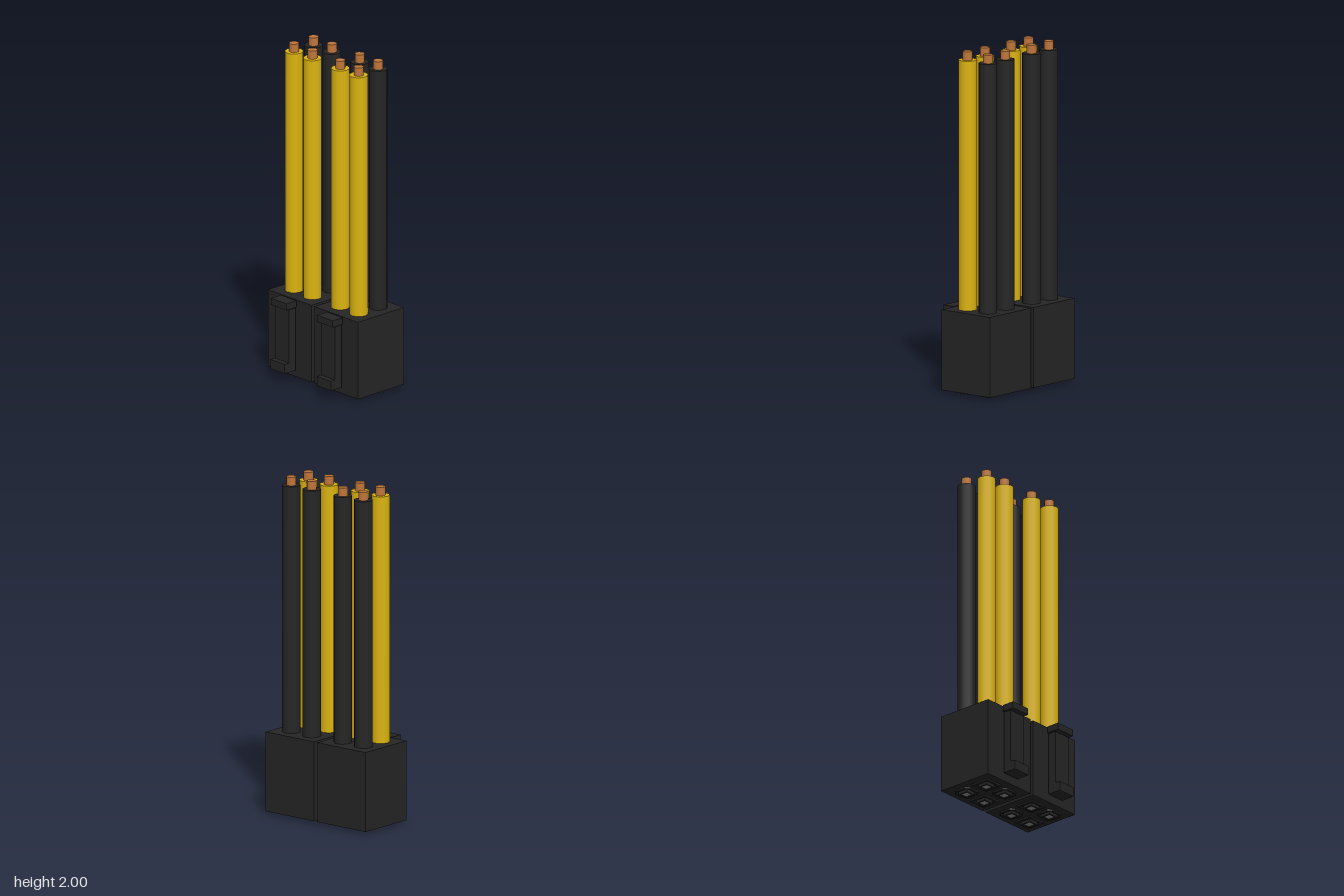
import * as THREE from 'three';

const mat = (name, color) => {
  const m = new THREE.MeshStandardMaterial({ color });
  m.name = name;
  return m;
};

export function createModel() {
  const black = mat('blackPlastic', 0x252525);
  const yellow = mat('yellowInsulation', 0xdcb410);
  const copper = mat('copper', 0xc0763a);
  const metal = mat('greyMetal', 0x8c8c8c);
  const model = new THREE.Group();
  model.name = 'twinCableConnector';

  const add = (parent, name, geometry, material, x = 0, y = 0, z = 0) => {
    const mesh = new THREE.Mesh(geometry, material);
    mesh.name = name;
    mesh.position.set(x, y, z);
    parent.add(mesh);
    return mesh;
  };
  // Box given by its lower and upper limits
  const box = (parent, name, x0, x1, y0, y1, z0, z1, material = black) =>
    add(parent, name, new THREE.BoxGeometry(x1 - x0, y1 - y0, z1 - z0), material,
      (x0 + x1) / 2, (y0 + y1) / 2, (z0 + z1) / 2);
  const rod = (parent, name, r, y0, y1, material, x, z) =>
    add(parent, name, new THREE.CylinderGeometry(r, r, y1 - y0, 12), material, x, (y0 + y1) / 2, z);

  // Square frame with a square opening; optionally with cut corners
  const frameGeometry = (half, hole, cut, height) => {
    const c = half - cut;
    const pts = cut
      ? [[-half, -c], [-c, -half], [c, -half], [half, -c], [half, c], [c, half], [-c, half], [-half, c]]
      : [[-half, -half], [half, -half], [half, half], [-half, half]];
    const shape = new THREE.Shape(pts.map(p => new THREE.Vector2(...p)));
    shape.holes.push(new THREE.Path(
      [[-hole, -hole], [-hole, hole], [hole, hole], [hole, -hole]].map(p => new THREE.Vector2(...p))));
    const g = new THREE.ExtrudeGeometry(shape, { depth: height, bevelEnabled: false });
    g.rotateX(-Math.PI / 2);
    return g;
  };
  const squareFrame = frameGeometry(0.058, 0.045, 0, 0.013);
  const cutFrame = frameGeometry(0.058, 0.045, 0.022, 0.013);
  const sleeve = frameGeometry(0.033, 0.023, 0, 0.022);

  for (const side of [-1, 1]) {
    const plug = new THREE.Group();
    plug.name = side < 0 ? 'rightPlug' : 'leftPlug';
    plug.position.x = side < 0 ? -0.195 : 0.193;
    model.add(plug);

    box(plug, 'housing', -0.182, 0.182, 0.02, 0.49, -0.23, 0.133);

    // Latch standing just off the front face
    const latch = new THREE.Group();
    latch.name = 'latch';
    plug.add(latch);
    box(latch, 'latchTop', -0.065, 0.065, 0.45, 0.49, 0.142, 0.22);
    box(latch, 'latchLever', -0.059, 0.059, 0.063, 0.445, 0.144, 0.196);
    box(latch, 'latchHook', -0.059, 0.059, 0.063, 0.12, 0.19, 0.229);

    // Two rows of wires with sockets underneath
    for (const col of [-1, 1]) {
      for (const front of [true, false]) {
        const x = col * 0.077;
        const z = front ? 0.027 : -0.126;
        rod(plug, front ? 'frontWire' : 'backWire', 0.054, 0.48, 1.95, front ? yellow : black, x, z);
        rod(plug, 'copperCore', 0.029, 1.94, 2, copper, x, z);
        const isSquare = (col > 0) !== front;
        add(plug, 'socketFrame', isSquare ? squareFrame : cutFrame, black, x, 0.01, z);
        add(plug, 'socketSleeve', sleeve, black, x, 0, z);
        box(plug, 'contact', x - 0.024, x + 0.024, 0.004, 0.021, z - 0.024, z + 0.024, metal);
      }
    }
  }
  return model;
}
